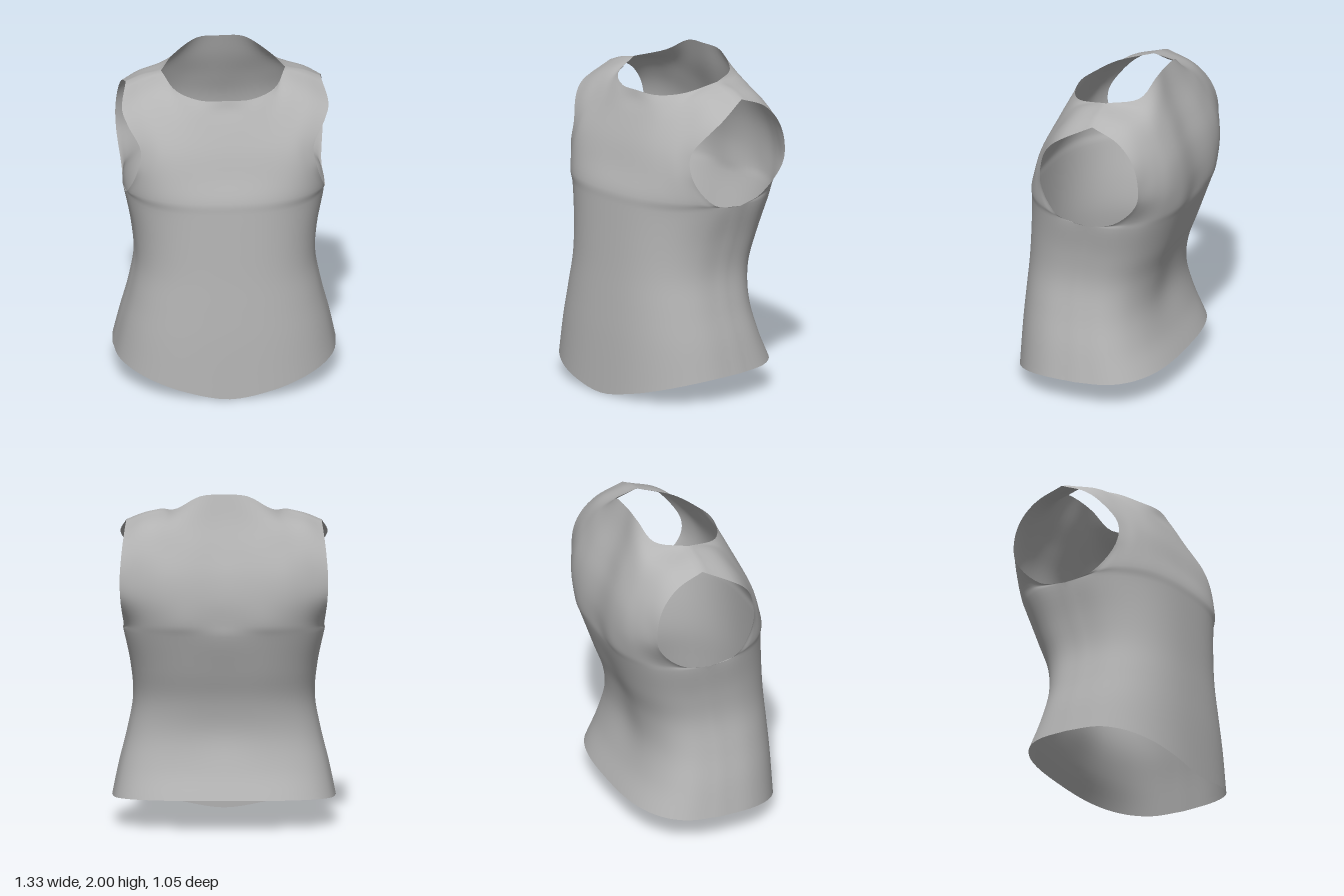
import * as THREE from 'three';
import { mergeGeometries, mergeVertices } from 'three/addons/utils/BufferGeometryUtils.js';

const STEPS = 5; // subdivisions between neighbouring control points
const ARMPIT = 5; // control row where the armholes begin

// Body rings from hem to armpit: y, half width, front z, back z, side seam z
const RINGS = [
  [0.17, 0.665, 0.525, -0.45, 0.0],
  [0.35, 0.625, 0.51, -0.375, 0.02],
  [0.55, 0.575, 0.497, -0.335, 0.04],
  [0.75, 0.54, 0.483, -0.36, 0.03],
  [0.95, 0.555, 0.472, -0.43, -0.01],
  [1.17, 0.6, 0.46, -0.505, -0.05],
];

// Shoulder seam from neck to arm
const SHOULDER = [[0.37, 1.885, -0.08], [0.48, 1.86, -0.08], [0.58, 1.82, -0.08]];

// Chest rows above the armpit, each from the middle out to the armhole edge
const CHEST = [
  [[0, 1.24, 0.455], [0.225, 1.24, 0.44], [0.38, 1.24, 0.395], [0.485, 1.235, 0.325], [0.555, 1.225, 0.235], [0.59, 1.205, 0.14]],
  [[0, 1.38, 0.405], [0.205, 1.38, 0.4], [0.345, 1.38, 0.38], [0.44, 1.38, 0.345], [0.505, 1.375, 0.3], [0.54, 1.37, 0.27]],
  [[0, 1.53, 0.355], [0.19, 1.53, 0.35], [0.32, 1.53, 0.335], [0.41, 1.53, 0.315], [0.47, 1.525, 0.29], [0.515, 1.52, 0.27]],
  [[0, 1.68, 0.29], [0.18, 1.68, 0.28], [0.31, 1.69, 0.245], [0.41, 1.7, 0.21], [0.5, 1.69, 0.195], [0.585, 1.65, 0.19]],
  [[0, 1.76, 0.25], [0.165, 1.76, 0.24], [0.3, 1.78, 0.175], [0.39, 1.825, 0.09], [0.5, 1.79, 0.09], [0.615, 1.72, 0.11]],
  [[0, 1.815, 0.235], [0.15, 1.81, 0.21], [0.29, 1.835, 0.12], ...SHOULDER],
];

// Upper back rows, with a shallow groove along the spine
const UPPER_BACK = [
  [[0, 1.24, -0.5], [0.24, 1.24, -0.515], [0.39, 1.24, -0.475], [0.49, 1.235, -0.41], [0.56, 1.225, -0.32], [0.595, 1.21, -0.22]],
  [[0, 1.38, -0.505], [0.225, 1.38, -0.52], [0.375, 1.38, -0.5], [0.485, 1.38, -0.455], [0.565, 1.375, -0.41], [0.615, 1.37, -0.375]],
  [[0, 1.53, -0.48], [0.215, 1.53, -0.498], [0.36, 1.53, -0.485], [0.465, 1.53, -0.45], [0.55, 1.52, -0.415], [0.62, 1.5, -0.39]],
  [[0, 1.68, -0.425], [0.2, 1.68, -0.445], [0.335, 1.68, -0.43], [0.44, 1.68, -0.4], [0.53, 1.67, -0.37], [0.61, 1.64, -0.35]],
  [[0, 1.85, -0.355], [0.185, 1.84, -0.37], [0.315, 1.82, -0.355], [0.405, 1.82, -0.3], [0.5, 1.8, -0.27], [0.595, 1.75, -0.25]],
  [[0, 2.0, -0.305], [0.14, 1.99, -0.305], [0.28, 1.91, -0.26], ...SHOULDER],
];

// Smooth curve through the points, broken at the listed corners
function sample(points, corners = []) {
  const out = [points[0].clone()];
  const stops = [0, ...corners, points.length - 1];
  for (let i = 1; i < stops.length; i++) {
    const part = points.slice(stops[i - 1], stops[i] + 1);
    out.push(...new THREE.CatmullRomCurve3(part).getPoints((part.length - 1) * STEPS).slice(1));
  }
  return out;
}

// Half ring of the lower body, from the middle to the side seam
function ringRow([y, w, front, back, seam], row, isBack) {
  const power = isBack ? 0.72 : 0.8;
  return Array.from({ length: 6 }, (_, i) => {
    const a = (i / 5) * Math.PI / 2;
    const c = i === 5 ? 0 : Math.cos(a);
    const x = w * Math.sin(a) ** power;
    const z = seam + ((isBack ? back : front) - seam) * c ** power;
    let py = y;
    if (row === 0) py = isBack ? 0.16 + 0.02 * c : 0.16 * (x / w) ** 1.4; // dipped hem
    const groove = isBack && i === 0 && row > 1 ? 0.012 : 0;
    return [x, py, z + groove];
  });
}

// One panel (front or back): smooth sheet through its control rows
function panel(upper, isBack) {
  const net = [...RINGS.map((r, i) => ringRow(r, i, isBack)), ...upper]
    .map(row => row.map(p => new THREE.Vector3(...p)));
  const columns = net[0].map((_, c) => sample(net.map(row => row[c]), c === 5 ? [ARMPIT] : []));
  const rowCount = columns[0].length;
  const positions = [], index = [];
  let across = 0;
  for (let r = 0; r < rowCount; r++) {
    const half = columns.map(col => col[r]);
    const mirrored = half.slice(1).reverse().map(p => new THREE.Vector3(-p.x, p.y, p.z));
    // The neckline meets the shoulder seam at a corner
    const row = sample([...mirrored, ...half], r === rowCount - 1 ? [2, 8] : []);
    across = row.length;
    row.forEach(p => positions.push(p.x, p.y, p.z));
  }
  for (let r = 0; r < rowCount - 1; r++) {
    for (let c = 0; c < across - 1; c++) {
      const a = r * across + c, b = a + 1, d = a + across, e = d + 1;
      if (isBack) index.push(a, e, b, a, d, e);
      else index.push(a, b, e, a, e, d);
    }
  }
  const geometry = new THREE.BufferGeometry();
  geometry.setAttribute('position', new THREE.Float32BufferAttribute(positions, 3));
  geometry.setIndex(index);
  return geometry;
}

export function createModel() {
  const cloth = new THREE.MeshStandardMaterial({ color: 0xb4b4b4, side: THREE.DoubleSide });
  cloth.name = 'grey cloth';

  // Join the panels along the side and shoulder seams
  const geometry = mergeVertices(mergeGeometries([panel(CHEST, false), panel(UPPER_BACK, true)]), 1e-4);
  geometry.computeVertexNormals();
  geometry.computeBoundingBox();
  const { min, max } = geometry.boundingBox;
  geometry.translate(0, -min.y, -(min.z + max.z) / 2);

  const top = new THREE.Mesh(geometry, cloth);
  top.name = 'sleevelessTop';
  const group = new THREE.Group();
  group.name = 'garment';
  group.add(top);
  return group;
}
